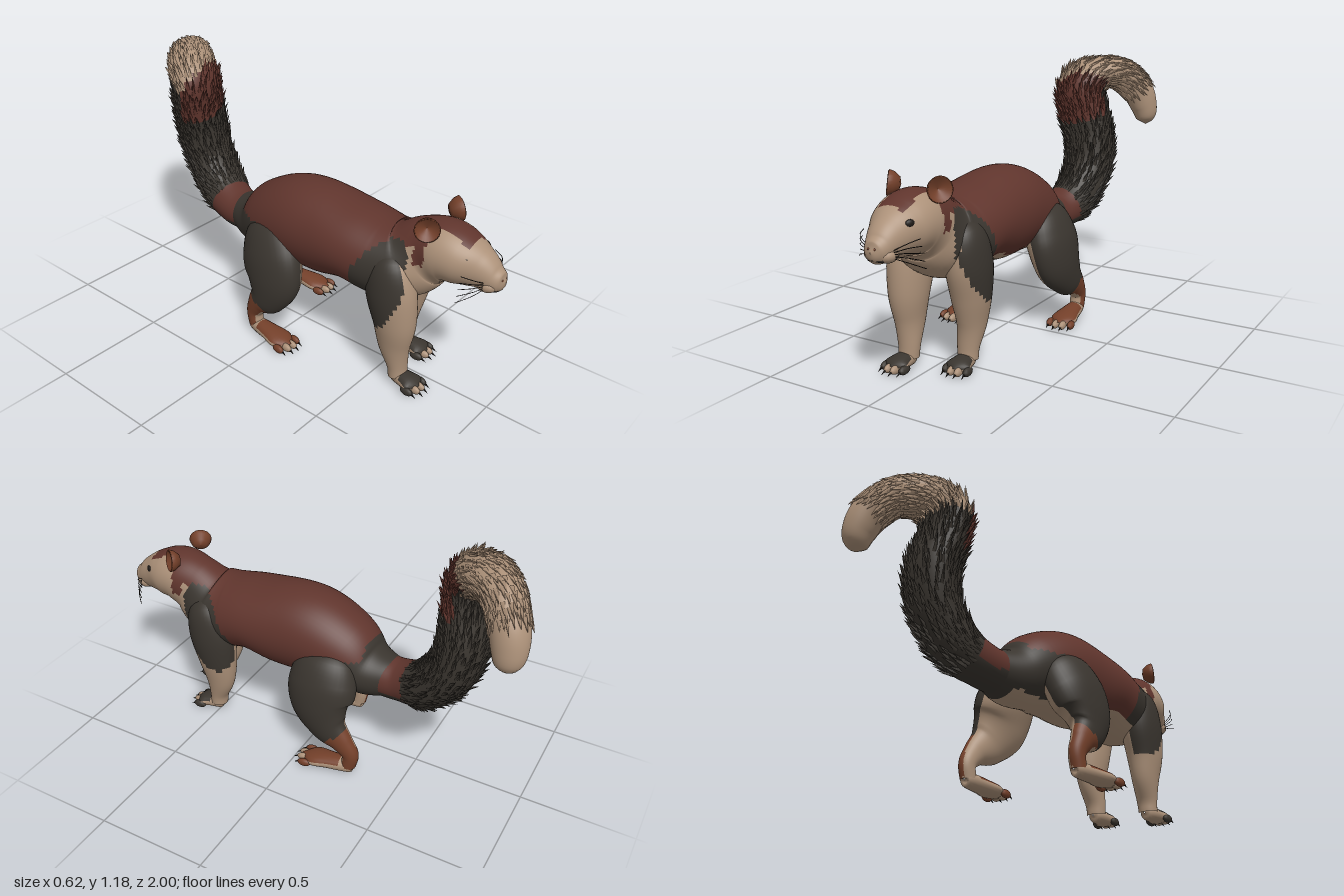
import * as THREE from 'three';
import { mergeGeometries } from 'three/addons/utils/BufferGeometryUtils.js';

const mat = (name, color) => Object.assign(new THREE.MeshStandardMaterial({ color }), { name });
const V = (x, y, z) => new THREE.Vector3(x, y, z);
const RED = 0, DARK = 1, CREAM = 2, RUST = 3, BLACK = 4;

export function createModel() {
  const root = new THREE.Group();
  root.name = 'squirrel';
  const mats = [mat('maroon fur', 0x60352d), mat('charcoal fur', 0x3a352f), mat('cream fur', 0xac9179),
    mat('rust fur', 0x74402a), mat('black', 0x1c1815)];

  const add = (name, geo, material, parent = root) => {
    const m = new THREE.Mesh(geo, material);
    m.name = name;
    parent.add(m);
    return m;
  };

  // Smooth frames along rows of [x, y, z, sideRadius, otherRadius]
  function makeFrame(rows) {
    const path = new THREE.CatmullRomCurve3(rows.map(r => V(r[0], r[1], r[2])), false, 'catmullrom', 0.5);
    const radii = new THREE.CatmullRomCurve3(rows.map(r => V(r[3], r[4], 0)), false, 'catmullrom', 0.5);
    return (t, ang) => {
      const c = path.getPoint(t), r = radii.getPoint(t), tan = path.getTangent(t);
      const side = V(1, 0, 0).addScaledVector(tan, -tan.x).normalize();
      const up = tan.clone().cross(side);
      const a = Math.max(r.x, 0.001), b = Math.max(r.y, 0.001);
      const p = c.clone().addScaledVector(side, Math.cos(ang) * a).addScaledVector(up, Math.sin(ang) * b);
      const n = side.multiplyScalar(Math.cos(ang) / a).addScaledVector(up, Math.sin(ang) / b).normalize();
      return { p, n, tan };
    };
  }

  // Skin the frames; paint(position, normal, rowIndex) picks a colour for each face
  function loft(name, rows, paint, parent = root, perRow = 6, around = 36) {
    const frame = makeFrame(rows), n = (rows.length - 1) * perRow;
    const pos = [], faces = mats.map(() => []);
    for (let i = 0; i <= n; i++)
      for (let j = 0; j < around; j++) pos.push(...frame(i / n, j / around * Math.PI * 2).p.toArray());
    for (let i = 0; i < n; i++)
      for (let j = 0; j < around; j++) {
        const mid = frame((i + 0.5) / n, (j + 0.5) / around * Math.PI * 2);
        const k = (j + 1) % around, a = i * around, b = a + around;
        faces[paint(mid.p, mid.n, (i + 0.5) / perRow)].push(a + j, a + k, b + k, a + j, b + k, b + j);
      }
    const geo = new THREE.BufferGeometry();
    geo.setAttribute('position', new THREE.Float32BufferAttribute(pos, 3));
    geo.setIndex(faces.flat());
    let start = 0;
    faces.forEach((f, m) => { if (f.length) geo.addGroup(start, f.length, m); start += f.length; });
    geo.computeVertexNormals();
    add(name, geo, mats, parent);
    return frame;
  }

  // Dark shoulder patch, leaning forwards at the top
  const onShoulder = (p, shift = 0) => {
    const h = 1 - ((p.y - 0.49) / 0.2) ** 2;
    return h > 0 && Math.abs(p.z - shift - 0.52 - (p.y - 0.5) * 0.32) < 0.115 * Math.sqrt(h);
  };

  // Head and body, rump to nose
  loft('body', [
    [.02, .45, -.38, .09, .085], [.01, .455, -.25, .14, .125], [0, .515, -.12, .18, .175], [-.005, .555, .03, .2, .2],
    [-.005, .557, .18, .205, .198], [-.005, .56, .33, .205, .17], [0, .54, .47, .19, .172], [.01, .565, .58, .165, .162],
    [.02, .625, .66, .13, .142], [.022, .657, .74, .132, .13], [.025, .648, .82, .12, .112], [.03, .628, .89, .085, .088],
    [.033, .605, .95, .058, .06], [.035, .6, .985, .038, .042], [.035, .6, 1, .002, .002],
  ], (p, n) => {
    if (p.z > .66) {
      const crown = p.z < .87 && Math.abs(p.x - .025) < .06 && n.y > .5;
      const behindEar = p.z < .71 && p.y > .62;
      return crown || behindEar ? RED : CREAM;
    }
    if (n.y < -.78 && p.z > -.3) return CREAM;
    if (Math.abs(n.x) > .3 && onShoulder(p)) return DARK;
    if (p.z > .57 && p.y < .7 - (.66 - p.z) * .6) return CREAM;
    if (p.z < -.26 || (p.z < .02 && p.y < .55 - Math.max(0, p.z + .05))) return DARK;
    return RED;
  }, root, 7, 56);

  // Tail: rises, then curls over backwards to its left
  const tailPaint = (p, n, t) => {
    if (p.z > -.35 && t < 2) return DARK;
    if (t < 1.5) return n.y > -.4 ? RED : DARK;
    if (t < 4.7) return DARK;
    if (t < 6.3 + n.x * .5) return n.z > .15 ? RED : t < 6 ? DARK : CREAM;
    return CREAM;
  };
  const tailRows = [
    [.02, .45, -.30, .1, .095], [.02, .45, -.42, .1, .092], [.05, .5, -.55, .11, .105], [.07, .63, -.655, .118, .105],
    [.06, .78, -.69, .125, .105], [.03, .92, -.675, .125, .09], [.015, 1.03, -.67, .12, .088], [.055, 1.095, -.735, .11, .08],
    [.14, 1.095, -.835, .095, .08], [.215, 1.02, -.9, .08, .08], [.25, .93, -.925, .066, .072],
    [.262, .865, -.925, .046, .05], [.265, .835, -.922, .002, .002],
  ];
  const tail = new THREE.Group();
  tail.name = 'tail';
  root.add(tail);
  const tailFrame = loft('tailCore', tailRows, tailPaint, tail, 6, 40);

  // Tufts of fur lying along the tail
  let seed = 7;
  const rand = () => (seed = (seed * 16807) % 2147483647) / 2147483647;
  const tufts = mats.map(() => []), last = tailRows.length - 1;
  for (let i = 0; i < 40; i++)
    for (let j = 0; j < 24; j++) {
      const t = 1.5 + i * .19 + rand() * .15, f = tailFrame(t / last, (j + rand() * .7) / 24 * Math.PI * 2);
      const lift = t > 6.5 ? .18 : .45;
      const dir = f.tan.clone().addScaledVector(f.n, lift * (.6 + rand() * .7)).normalize();
      const len = (t > 6.5 ? .04 : .05) + rand() * .025;
      const g = new THREE.ConeGeometry(.012, len, 4, 1, true);
      g.applyQuaternion(new THREE.Quaternion().setFromUnitVectors(V(0, 1, 0), dir));
      const at = f.p.addScaledVector(dir, len * .35).addScaledVector(f.n, -.004);
      g.translate(at.x, at.y, at.z);
      tufts[tailPaint(f.p, f.n, t)].push(g);
    }
  tufts.forEach((list, m) => { if (list.length) add('tailTufts', mergeGeometries(list), mats[m], tail); });

  // Paw with four toes and claws
  function paw(name, x, z, length, width, splay, topColour) {
    const g = new THREE.Group();
    g.name = name;
    g.position.set(x, 0, z);
    g.rotation.y = splay;
    root.add(g);
    loft('sole', [[0, .04, -.035, .003, .003], [0, .042, -.02, .03, .032], [0, .04, length * .4, width * .42, .032],
      [0, .034, length * .75, width * .5, .026], [0, .028, length, .01, .012]],
    (p, n) => n.y > .45 && p.z > length * .2 ? topColour : CREAM, g, 4, 20);
    for (let i = 0; i < 4; i++) {
      const k = i - 1.5, tx = k * width * .29, tz = length - Math.abs(k) * .016;
      const toe = add('toe', new THREE.SphereGeometry(1, 12, 8), mats[i % 3 ? CREAM : topColour], g);
      toe.scale.set(.015, .019, .032);
      toe.position.set(tx, .026, tz);
      const claw = add('claw', new THREE.ConeGeometry(.007, .035, 6), mats[BLACK], g);
      claw.rotation.x = Math.PI / 2 + .45;
      claw.position.set(tx, .02, tz + .035);
    }
  }

  for (const s of [1, -1]) {
    const label = s > 0 ? 'left' : 'right';

    // Front leg; the right one steps forward
    const fz = s > 0 ? 0 : .11, c = .008;
    const step = y => fz * Math.min(1, (.64 - y) / .35);
    loft(label + 'FrontLeg', [[.1, .64, .55, .003, .003], [.115, .58, .54, .07, .085], [.12, .46, .515, .088, .115],
      [.118, .32, .495, .08, .098], [.115, .2, .488, .06, .074], [.108, .1, .505, .048, .045], [.108, .045, .51, .044, .04]]
      .map(([x, y, z, a, b]) => [s * x + c, y, z + step(y), a, b]),
    (p, n) => n.x * s > -.1 && n.z < .85 && onShoulder(p, step(p.y) * .6) ? DARK : CREAM);
    paw(label + 'FrontPaw', s * .108 + c, .515 + fz, .105, .11, s * .06, DARK);

    // Hind leg; the right one steps forward
    const hz = s > 0 ? 0 : .17;
    const stride = y => hz * Math.min(1, (.58 - y) / .45);
    loft(label + 'HindLeg', [[.1, .585, -.11, .003, .003], [.125, .52, -.11, .08, .12], [.165, .42, -.1, .098, .16],
      [.195, .32, -.105, .085, .148], [.215, .23, -.155, .062, .1], [.222, .17, -.225, .044, .058],
      [.22, .11, -.27, .036, .04], [.22, .045, -.262, .034, .035]]
      .map(([x, y, z, a, b]) => [s * x, y, z + stride(y), a, b]),
    (p, n) => {
      const z = p.z - stride(p.y);
      if (n.x * s < -.3) return CREAM;
      if (p.y > .15 - (z + .15) * 1.07) return DARK;
      return n.z > .55 && n.x * s < .75 ? CREAM : RUST;
    });
    paw(label + 'HindPaw', s * .22, -.255 + hz, .215, .115, s * .09, RUST);

    // Ear cup opening outwards and forwards
    const ear = add(label + 'Ear', new THREE.LatheGeometry([[0, -.03], [.028, -.024], [.046, 0], [.052, .02], [.046, .024],
      [.034, .006], [0, -.008]].map(q => new THREE.Vector2(...q)), 24), mats[RUST]);
    ear.quaternion.setFromUnitVectors(V(0, 1, 0), V(s * .8, .12, .58).normalize());
    ear.position.set(.018 + s * .105, .785, .705);

    // Eye
    const eye = add(label + 'Eye', new THREE.SphereGeometry(1, 16, 12), mats[BLACK]);
    eye.scale.set(.01, .017, .02);
    eye.rotation.y = -s * .5;
    eye.position.set(.028 + s * .082, .687, .866);

    // Cheek, nostril, mouth and whiskers
    const cheek = add(label + 'Cheek', new THREE.SphereGeometry(1, 16, 12), mats[CREAM]);
    cheek.scale.set(.036, .03, .045);
    cheek.position.set(.033 + s * .03, .582, .935);
    const nostril = add(label + 'Nostril', new THREE.SphereGeometry(.006, 8, 6), mats[RUST]);
    nostril.position.set(.035 + s * .014, .613, .99);
    const mouth = new THREE.CatmullRomCurve3([V(.034, .571, .991), V(.034 + s * .03, .566, .976), V(.034 + s * .063, .576, .93)]);
    add(label + 'Mouth', new THREE.TubeGeometry(mouth, 10, .003, 5), mats[BLACK]);
    for (let i = 0; i < 5; i++) {
      const h = (i - 2) * .018;
      const hair = new THREE.CatmullRomCurve3([V(.033 + s * .058, .588 + h * .4, .94),
        V(.033 + s * .11, .596 + h, .92), V(.033 + s * (.155 - i * .006), .588 + h * 1.5, .875)]);
      add(label + 'Whisker', new THREE.TubeGeometry(hair, 8, .0016, 4), mats[BLACK]);
    }
  }
  return root;
}
